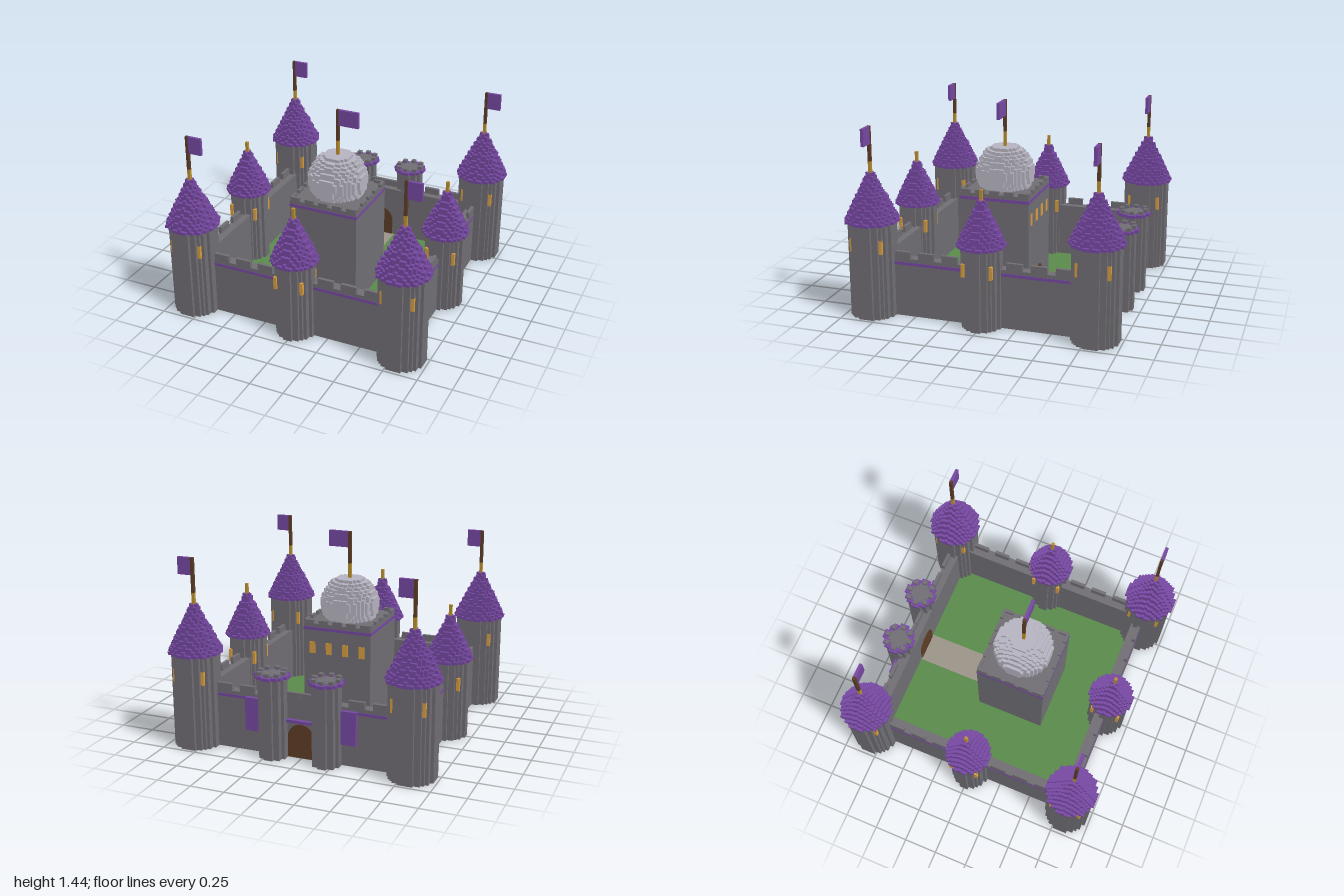
import * as THREE from 'three';
import { mergeGeometries } from 'three/addons/utils/BufferGeometryUtils.js';

const U = 2 / 91; // size of one block

function paint(name, color) {
  const m = new THREE.MeshStandardMaterial({ color });
  m.name = name;
  return m;
}

export function createModel() {
  const stone = paint('stone', 0x706e73);
  const purple = paint('purple', 0x7648a2);
  const pale = paint('paleDome', 0xb7b4c1);
  const grass = paint('grass', 0x5a8a4a);
  const path = paint('path', 0x9a9488);
  const wood = paint('wood', 0x5c3d27);
  const gold = paint('gold', 0xba9132);
  const glow = paint('windowGlow', 0xd69c3e);
  const castle = new THREE.Group();
  castle.name = 'castle';

  // Box geometry from its bounds
  const bounds = (x0, x1, y0, y1, z0, z1) =>
    new THREE.BoxGeometry(x1 - x0, y1 - y0, z1 - z0)
      .translate((x0 + x1) / 2, (y0 + y1) / 2, (z0 + z1) / 2);

  const add = (parent, name, material, geos) => {
    const mesh = new THREE.Mesh(Array.isArray(geos) ? mergeGeometries(geos) : geos, material);
    mesh.name = name;
    parent.add(mesh);
    return mesh;
  };

  // Blocky disc: rows of blocks of equal width are joined into one box
  function disc(R, y0, y1) {
    const geos = [];
    const half = (k) => (R * R < k * k ? -1 : Math.floor(Math.sqrt(R * R - k * k)));
    const n = Math.floor(R);
    for (let k = -n; k <= n;) {
      let e = k;
      while (e < n && half(e + 1) === half(k)) e++;
      const w = (half(k) + 0.5) * U;
      geos.push(bounds(-w, w, y0, y1, (k - 0.5) * U, (e + 0.5) * U));
      k = e + 1;
    }
    return geos;
  }

  // Stack of discs with a radius rule
  function stack(count, y0, y1, radius) {
    const h = (y1 - y0) / count;
    const geos = [];
    for (let i = 0; i < count; i++) geos.push(...disc(radius(i), y0 + i * h, y0 + (i + 1) * h));
    return geos;
  }

  const post = (y0, y1) => bounds(-U / 2, U / 2, y0, y1, -U / 2, U / 2);

  function group(name, x, z) {
    const g = new THREE.Group();
    g.name = name;
    g.position.set(x, 0, z);
    castle.add(g);
    return g;
  }

  // Four diagonal slit windows
  function slits(parent, offset, y0, y1) {
    const geos = [];
    const s = U * 0.54;
    for (const a of [-offset, offset]) for (const b of [-offset, offset])
      geos.push(bounds(a * U - s, a * U + s, y0, y1, b * U - s, b * U + s));
    add(parent, 'slitWindows', glow, geos);
  }

  // Corner towers with cone roof, mast and flag
  for (const x of [-37, 37]) for (const z of [-37, 37]) {
    const t = group('cornerTower', x * U, z * U);
    add(t, 'towerBody', stone, disc(7.3, 0, 0.69));
    add(t, 'towerRoof', purple, stack(16, 0.69, 1.04, (i) => 8.5 - 0.5 * i));
    add(t, 'finial', gold, post(1.04, 1.12));
    add(t, 'mast', wood, post(1.12, 1.37));
    add(t, 'flag', purple, bounds(U / 2, 0.112, 1.245, 1.37, -U / 2, U / 2));
    slits(t, 5, 0.485, 0.585);
  }

  // Smaller towers in the middle of the front and side walls
  for (const [x, z] of [[-37, 0], [37, 0], [0, 37]]) {
    const t = group('wallTower', x * U, z * U);
    add(t, 'towerBody', stone, disc(6.3, 0, 0.588));
    add(t, 'towerRoof', purple, stack(15, 0.588, 0.912, (i) => 7.5 - 0.46 * i));
    add(t, 'finial', gold, post(0.912, 0.99));
    slits(t, 4.6, 0.385, 0.48);
  }

  // Gate towers with a purple rim and a ring of battlements
  for (const x of [-9.2, 9.2]) {
    const t = group('gateTower', x * U, -38.3 * U);
    add(t, 'towerBody', stone, disc(4.3, 0, 0.59));
    add(t, 'rim', purple, disc(5.3, 0.59, 0.612));
    add(t, 'deck', stone, disc(3.2, 0.61, 0.617));
    const teeth = [];
    for (let i = 0; i < 8; i++) {
      const a = (i * Math.PI) / 4;
      const cx = Math.round(4 * Math.cos(a)) * U;
      const cz = Math.round(4 * Math.sin(a)) * U;
      teeth.push(bounds(cx - U * 0.75, cx + U * 0.75, 0.61, 0.638, cz - U * 0.75, cz + U * 0.75));
    }
    add(t, 'battlements', stone, teeth);
  }

  // Curtain walls: built along the front, then turned to each side
  for (let i = 0; i < 4; i++) {
    const w = group(['frontWall', 'leftWall', 'backWall', 'rightWall'][i], 0, 0);
    w.rotation.y = (i * Math.PI) / 2;
    add(w, 'wall', stone, bounds(-0.742, 0.742, 0.002, 0.432, 0.742, 0.818));
    const teeth = [];
    for (const c of [0.06, 0.236, 0.412, 0.588]) for (const s of [-1, 1])
      teeth.push(bounds(s * c - 0.058, s * c + 0.058, 0.432, 0.482, 0.794, 0.818));
    add(w, 'battlements', stone, teeth);
    const inner = i === 2 ? 0.29 : 0.13;
    add(w, 'stripe', purple, [-1, 1].map((s) =>
      bounds(s < 0 ? -0.66 : inner, s < 0 ? -inner : 0.66, 0.385, 0.406, 0.81, 0.821)));
  }

  // Arched door outline
  function arch(w, top, depth) {
    const s = new THREE.Shape();
    s.moveTo(-w, 0);
    s.lineTo(w, 0);
    s.lineTo(w, top - w);
    s.absarc(0, top - w, w, 0, Math.PI, false);
    s.closePath();
    return new THREE.ExtrudeGeometry(s, { depth, bevelEnabled: false, curveSegments: 8 });
  }

  // Gate, its lintel and the banners beside it
  add(castle, 'gate', wood, arch(0.1, 0.25, 0.088).translate(0, 0.005, -0.824));
  add(castle, 'gateLintel', purple, bounds(-0.11, 0.11, 0.268, 0.29, -0.846, -0.81));
  for (const s of [-1, 1])
    add(castle, 'banner', purple, bounds(s * 0.362 - 0.055, s * 0.362 + 0.055, 0.165, 0.41, -0.846, -0.815));

  // Keep
  const keep = group('keep', 0, 0.1);
  const k = 0.264;
  add(keep, 'keepBody', stone, bounds(-k, k, 0, 0.785, -k, k));
  const teeth = [];
  const bands = [];
  for (let i = 0; i < 4; i++) {
    const turn = (g) => g.rotateY((i * Math.PI) / 2);
    for (let c = -2; c <= 2; c++)
      teeth.push(turn(bounds(c * 0.11 - 0.036, c * 0.11 + 0.036, 0.785, 0.81, k - U, k)));
    bands.push(turn(bounds(-k, k, 0.735, 0.757, k - 0.003, k + 0.003)));
  }
  add(keep, 'keepBattlements', stone, teeth);
  add(keep, 'keepStripe', purple, bands);
  add(keep, 'keepWindows', glow, [-0.195, -0.065, 0.065, 0.195].map((x) =>
    bounds(x - U, x + U, 0.555, 0.645, -k - 0.004, -k + 0.004)));
  add(keep, 'keepDoor', wood, arch(0.075, 0.185, 0.008).translate(0, 0.005, -k - 0.004));

  // Blocky dome with the main flag
  add(keep, 'dome', pale, stack(14, 0.782, 1.09, (i) => {
    const d = (i - 4.6) * 1;
    return Math.sqrt(Math.max(9.6 * 9.6 - d * d, 1));
  }));
  add(keep, 'finial', gold, post(1.09, 1.2));
  add(keep, 'mast', wood, post(1.2, 1.44));
  add(keep, 'flag', purple, bounds(U / 2, 0.163, 1.32, 1.44, -U / 2, U / 2));

  // Courtyard and path
  add(castle, 'courtyard', grass, bounds(-0.814, 0.814, 0.001, 0.022, -0.814, 0.814));
  add(castle, 'path', path, bounds(-0.115, 0.115, 0.0004, 0.024, -0.82, -0.16));

  return castle;
}
